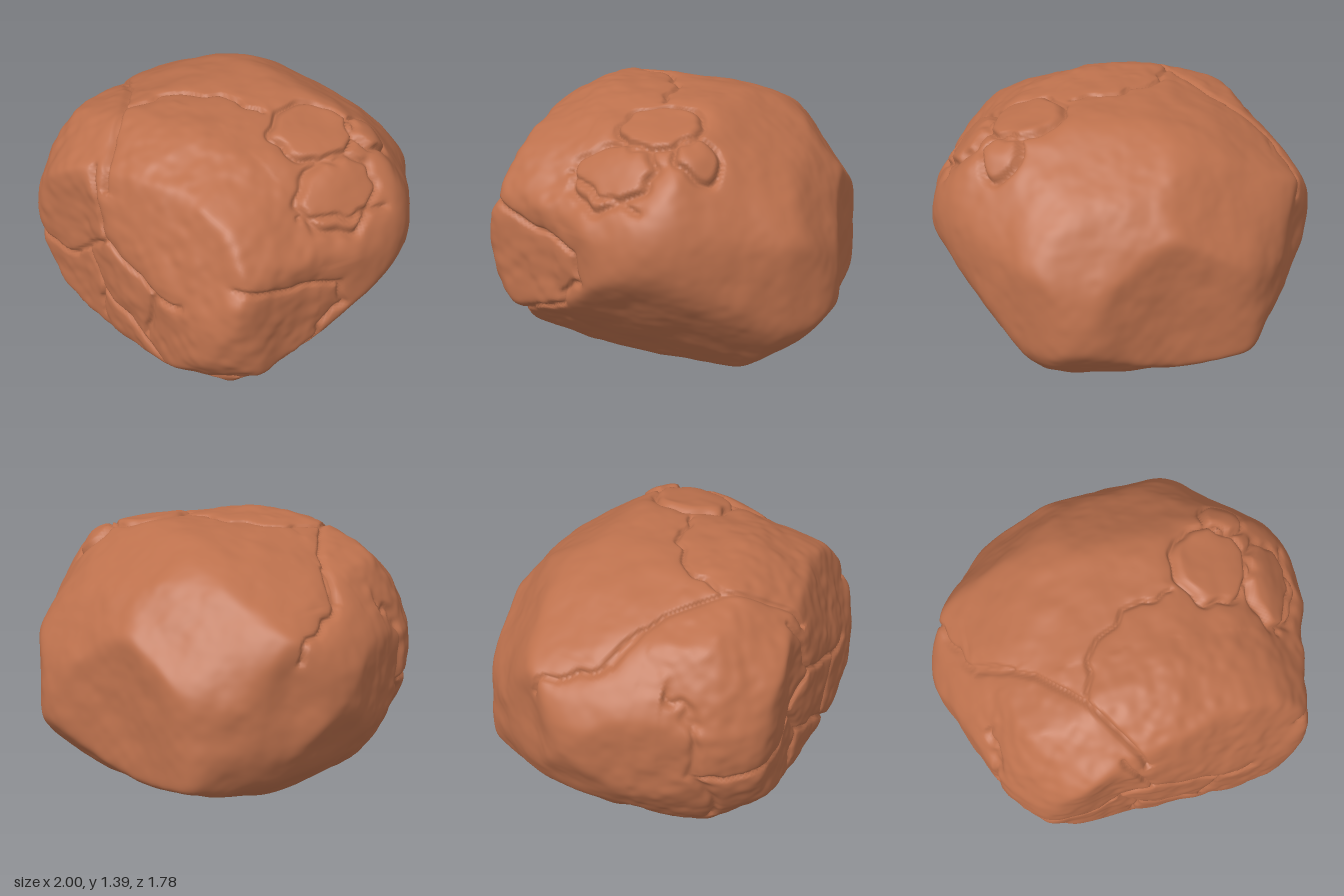
import * as THREE from 'three';
import { mergeVertices } from 'three/addons/utils/BufferGeometryUtils.js';

// Direction frame: u to the right, v up, n outwards (angles in degrees)
function frame(azimuth, elevation) {
  const a = THREE.MathUtils.degToRad(azimuth), e = THREE.MathUtils.degToRad(elevation);
  const sa = Math.sin(a), ca = Math.cos(a), se = Math.sin(e), ce = Math.cos(e);
  return {
    u: new THREE.Vector3(ca, 0, -sa),
    v: new THREE.Vector3(-se * sa, ce, -se * ca),
    n: new THREE.Vector3(ce * sa, se, ce * ca),
  };
}
const FRONT = frame(0, 0), SIDE = frame(90, 0), TOP = frame(0, 90);

// Carving outlines: radii from the centre at equal angles, anticlockwise from u
const outlines = [
  { f: FRONT, radii: [1, 0.97, 0.95, 0.84, 0.745, 0.715, 0.69, 0.69, 0.716, 0.785, 0.91, 0.975,
    1, 0.932, 0.918, 0.87, 0.788, 0.712, 0.685, 0.694, 0.774, 0.853, 0.918, 0.944] },
  { f: SIDE, radii: [0.865, 0.8, 0.765, 0.735, 0.731, 0.704, 0.685, 0.714, 0.805, 0.91, 1, 0.91,
    0.875, 0.88, 0.94, 0.91, 0.787, 0.694, 0.67, 0.694, 0.782, 0.806, 0.868, 0.91] },
  { f: TOP, radii: [0.985, 0.985, 0.927, 0.903, 0.91, 0.92, 0.81, 0.765, 0.815, 0.91, 0.93, 0.913,
    1, 0.953, 0.965, 1.045, 1.014, 0.86, 0.86, 0.895, 0.99, 1.089, 0.971, 0.93] },
  { f: frame(35, 26), radii: [0.93, 0.84, 0.717, 0.73, 0.77, 0.908, 1.02, 0.99, 0.87, 0.865, 0.762, 0.788] },
  { f: frame(215, 26), radii: [1.015, 1, 0.865, 0.825, 0.83, 0.974, 0.945, 0.94, 0.83, 0.775, 0.835, 0.915] },
  { f: frame(145, -26), radii: [0.915, 0.78, 0.757, 0.76, 0.86, 0.915, 1.1, 1, 0.89, 0.87, 0.834, 0.93] },
];

// Flat break on the upper front
const breakNormal = new THREE.Vector3(0.19, 0.33, 0.92).normalize();

// Cracks: polylines in a frame, measured from the rock's centre
const cracks = [
  { f: FRONT, pts: [[-0.8, -0.1], [-0.3, -0.1], [-0.04, 0.16], [-0.08, 0.3], [-0.18, 0.5]] },
  { f: FRONT, pts: [[-0.04, 0.16], [0.35, 0.02], [0.5, 0.03]] },
  { f: FRONT, pts: [[-0.2, -0.02], [-0.1, -0.2], [0.2, -0.32], [0.45, -0.5], [0.66, -0.42]] },
  { f: FRONT, pts: [[0.35, 0.02], [0.25, -0.3]] },
  { f: FRONT, pts: [[-0.1, -0.2], [-0.13, -0.4]] },
  { f: FRONT, pts: [[-0.78, 0.4], [-0.8, -0.1], [-0.6, -0.5]] },
  { f: SIDE, pts: [[-0.72, 0.22], [-0.2, 0.09], [-0.17, -0.05], [-0.3, -0.2], [-0.65, -0.42]] },
  { f: SIDE, pts: [[-0.3, 0.42], [0.15, 0.35]] },
  { f: TOP, pts: [[-0.85, 0.15], [-0.8, -0.15], [-0.5, -0.3], [-0.3, -0.5], [-0.05, -0.84]] },
  { f: TOP, pts: [[-0.3, -0.5], [-0.2, -0.25], [0, -0.12], [0.25, -0.06]] },
  { f: frame(215, 26), pts: [[0.55, 0.6], [0.73, 0.2], [0.62, -0.1]] },
];

// Raised slabs on the upper side: centre and half sizes in x and z
const slabs = [
  { x: 0.47, z: -0.06, rx: 0.19, rz: 0.22 },
  { x: 0.6, z: -0.31, rx: 0.1, rz: 0.11 },
  { x: 0.76, z: 0.06, rx: 0.13, rz: 0.23 },
];

// Seeded value noise
function hash(x, y, z) {
  const s = Math.sin(x * 127.1 + y * 311.7 + z * 74.7) * 43758.5453;
  return (s - Math.floor(s)) * 2 - 1;
}
function noise(p, scale) {
  const x = p.x * scale + 5, y = p.y * scale + 3, z = p.z * scale + 7;
  const i = Math.floor(x), j = Math.floor(y), k = Math.floor(z);
  const ease = (t) => t * t * (3 - 2 * t);
  const fx = ease(x - i), fy = ease(y - j), fz = ease(z - k);
  let sum = 0;
  for (let c = 0; c < 8; c++) {
    const a = c & 1, b = (c >> 1) & 1, d = c >> 2;
    sum += hash(i + a, j + b, k + d) * (a ? fx : 1 - fx) * (b ? fy : 1 - fy) * (d ? fz : 1 - fz);
  }
  return sum;
}

// Radius of an outline at an angle, as a smooth closed curve through its points
function outlineRadius(radii, angle) {
  const n = radii.length;
  const turn = (angle / (2 * Math.PI) + 1) * n;
  const i = Math.floor(turn), t = turn - i;
  const [a, b, c, d] = [-1, 0, 1, 2].map((k) => radii[(i + k + n) % n]);
  return b + 0.5 * t * (c - a + t * (2 * a - 5 * b + 4 * c - d + t * (3 * (b - c) + d - a)));
}

// Body: softly rounded intersection of the outlines and the break
function bodyRadius(d) {
  const sharpness = 70;
  let sum = (Math.max(0, d.dot(breakNormal)) / 0.885) ** sharpness;
  for (const { f, radii } of outlines) {
    const x = d.dot(f.u), y = d.dot(f.v);
    sum += (Math.hypot(x, y) / outlineRadius(radii, Math.atan2(y, x))) ** sharpness;
  }
  return 1.01 * sum ** (-1 / sharpness);
}

function segmentDistance(x, y, [ax, ay], [bx, by]) {
  const ex = bx - ax, ey = by - ay;
  const t = THREE.MathUtils.clamp(((x - ax) * ex + (y - ay) * ey) / (ex * ex + ey * ey), 0, 1);
  return Math.hypot(x - ax - ex * t, y - ay - ey * t);
}

// Relief: lumps, grit, slabs with seams, and cracks
function relief(p, d) {
  let h = 0.011 * noise(p, 3.1) + 0.008 * noise(p, 8) + (p.z > 0.3 ? 0.005 : 0.002) * noise(p, 19);
  const wobble = 0.022 * noise(p, 13);
  let near = 1;
  if (p.y > 0.2) {
    for (const s of slabs) {
      const q = Math.hypot((p.x - s.x) / s.rx, (p.z - s.z) / s.rz) + wobble * 7;
      h += 0.016 * (1 - THREE.MathUtils.smoothstep(q, 0.8, 1));
      near = Math.min(near, Math.abs(q - 1.02) * s.rx);
    }
  }
  for (const { f, pts } of cracks) {
    if (d.dot(f.n) < 0.45) continue;
    const x = p.dot(f.u) + wobble, y = p.dot(f.v) - wobble;
    for (let i = 1; i < pts.length; i++) near = Math.min(near, segmentDistance(x, y, pts[i - 1], pts[i]));
  }
  return h - 0.024 * Math.exp(-((near / 0.011) ** 2)) - 0.008 * Math.exp(-((near / 0.04) ** 2));
}

export function createModel() {
  const rock = new THREE.MeshStandardMaterial({ color: 0xbd714d });
  rock.name = 'terracotta rock';

  // Fine sphere pushed out to the carved shape
  const sphere = new THREE.IcosahedronGeometry(1, 82);
  sphere.deleteAttribute('uv');
  sphere.deleteAttribute('normal');
  const geometry = mergeVertices(sphere, 1e-5);
  const position = geometry.attributes.position;
  const d = new THREE.Vector3(), p = new THREE.Vector3();
  for (let i = 0; i < position.count; i++) {
    d.fromBufferAttribute(position, i).normalize();
    p.copy(d).multiplyScalar(bodyRadius(d));
    p.addScaledVector(d, relief(p, d));
    position.setXYZ(i, p.x, p.y, p.z);
  }
  geometry.computeVertexNormals();

  // Stand the boulder on the ground
  geometry.computeBoundingBox();
  geometry.translate(0, -geometry.boundingBox.min.y, 0);

  const boulder = new THREE.Mesh(geometry, rock);
  boulder.name = 'boulder';
  const group = new THREE.Group();
  group.name = 'crackedBoulder';
  group.add(boulder);
  return group;
}
